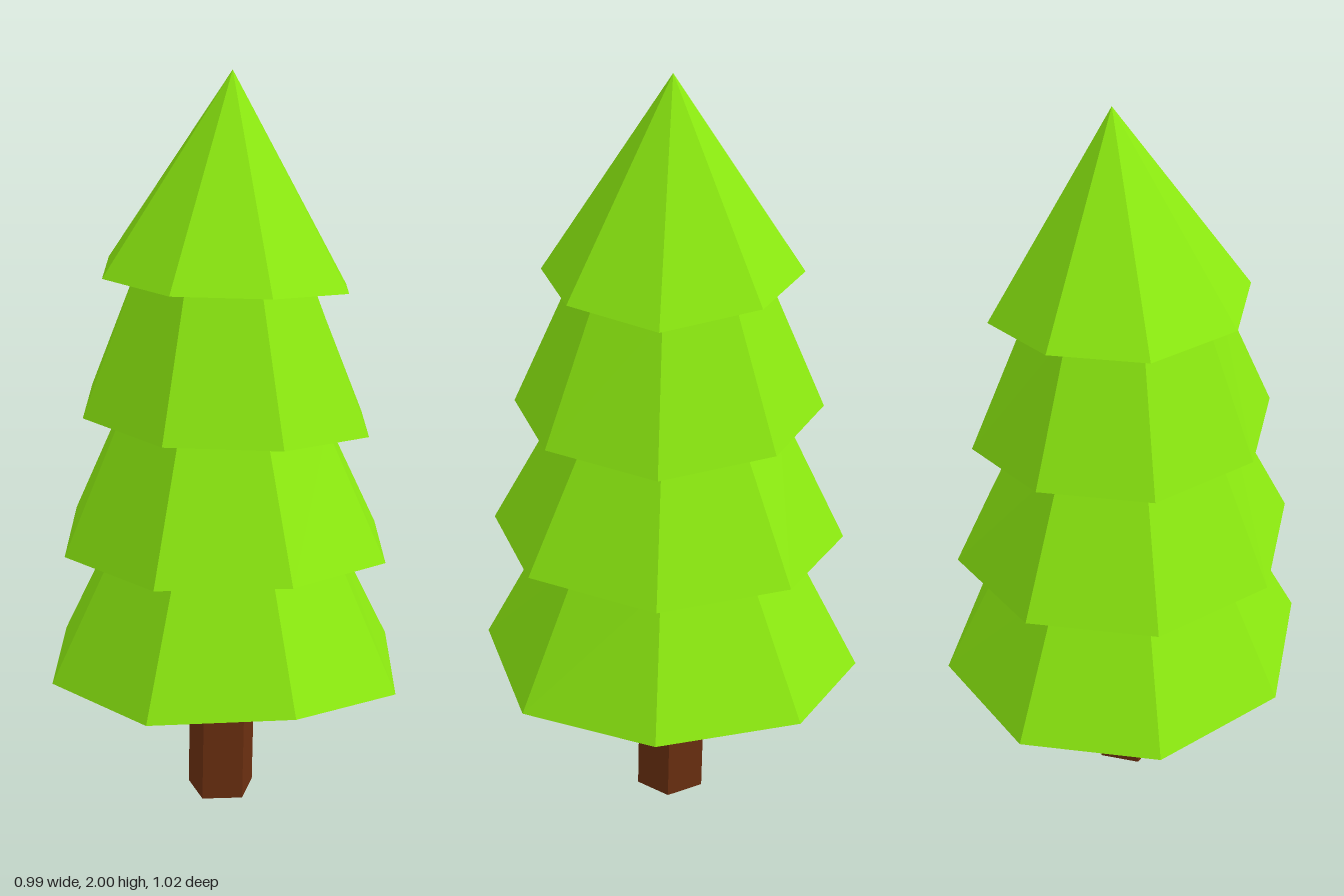
import * as THREE from 'three';

const SIDES = 8;

// Uneven octagon, counted from +x towards +z. ext = reach to [right, front, left, back]
function ring(ext, heights, cx = -0.005, lift = 0) {
  return heights.map((y, k) => {
    const a = (k / SIDES) * Math.PI * 2;
    const c = Math.cos(a), s = Math.sin(a);
    return [cx + c * (c > 0 ? ext[0] : ext[2]), y + lift, s * (s > 0 ? ext[1] : ext[3])];
  });
}

// Flat-shaded skin through a list of rings, each with the same number of points
function loft(rings) {
  const pos = [];
  for (let i = 0; i < rings.length - 1; i++) {
    const a = rings[i], b = rings[i + 1], n = a.length;
    for (let k = 0; k < n; k++) {
      const m = (k + 1) % n;
      if (i > 0) pos.push(...a[k], ...b[k], ...a[m]);
      if (i < rings.length - 2) pos.push(...a[m], ...b[k], ...b[m]);
    }
  }
  const g = new THREE.BufferGeometry();
  g.setAttribute('position', new THREE.Float32BufferAttribute(pos, 3));
  g.computeVertexNormals();
  return g;
}

const point = (n, x, y, z) => Array.from({ length: n }, () => [x, y, z]);

export function createModel() {
  const tree = new THREE.Group();
  tree.name = 'pineTree';
  const green = new THREE.MeshStandardMaterial({ color: 0x8cea10, flatShading: true });
  const brown = new THREE.MeshStandardMaterial({ color: 0x6b2f10, flatShading: true });

  // Foliage tiers: flared lip, its wavy heights, and the narrower neck under the next tier
  const tiers = [
    { lip: [0.5, 0.51, 0.49, 0.515], y: [0.39, 0.39, 0.455, 0.43, 0.405, 0.39, 0.39, 0.39], neck: 0.315 },
    { lip: [0.455, 0.48, 0.445, 0.468], y: [0.74, 0.765, 0.8, 0.785, 0.765, 0.77, 0.77, 0.755], neck: 0.285 },
    { lip: [0.405, 0.415, 0.385, 0.405], y: [1.07, 1.1, 1.135, 1.14, 1.14, 1.14, 1.14, 1.1], neck: 0.245 },
    { lip: [0.35, 0.335, 0.325, 0.347], y: [1.43, 1.465, 1.495, 1.5, 1.5, 1.5, 1.5, 1.465] },
  ];
  const rings = [point(SIDES, 0, 0.4, 0)];
  tiers.forEach((t, i) => {
    rings.push(ring(t.lip, t.y));
    const next = tiers[i + 1];
    if (next) rings.push(ring(Array(4).fill(t.neck), next.y, 0.003, 0.005));
  });
  rings.push(point(SIDES, 0.025, 2, -0.01));
  const foliage = new THREE.Mesh(loft(rings), green);
  foliage.name = 'foliage';
  tree.add(foliage);

  // Five-sided trunk, leaning slightly
  const pentagon = (x, y, z) => Array.from({ length: 5 }, (_, k) => {
    const a = (k / 5) * Math.PI * 2;
    return [x + 0.095 * Math.cos(a), y, z + 0.095 * Math.sin(a)];
  });
  const trunk = new THREE.Mesh(loft([
    point(5, -0.012, 0, 0), pentagon(-0.012, 0, 0),
    pentagon(0, 0.43, -0.01), point(5, 0, 0.43, -0.01),
  ]), brown);
  trunk.name = 'trunk';
  tree.add(trunk);

  return tree;
}
